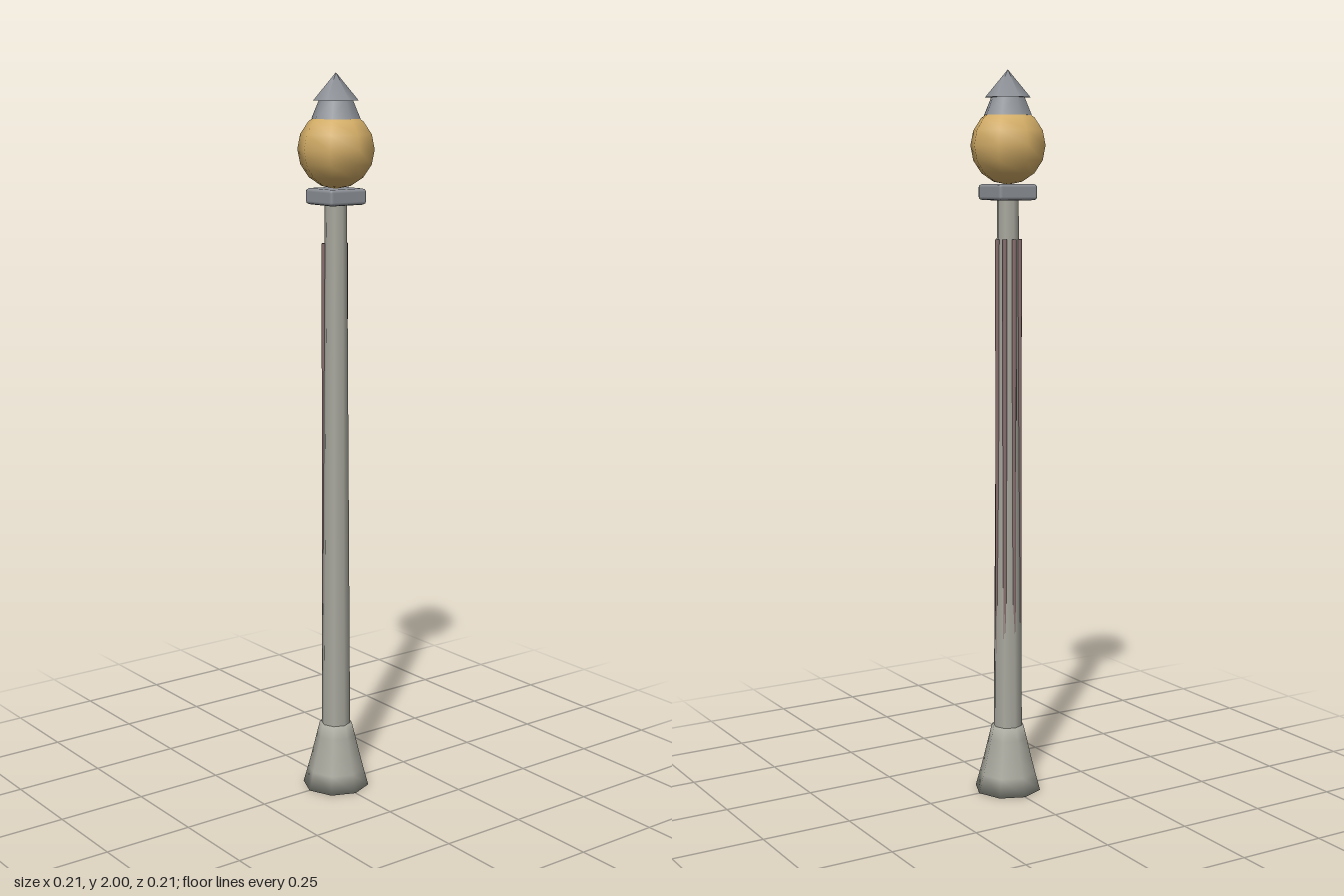
import * as THREE from 'three';
import { RoundedBoxGeometry } from 'three/addons/geometries/RoundedBoxGeometry.js';

const stone = new THREE.MeshStandardMaterial({ color: 0xa8a89e });
const metal = new THREE.MeshStandardMaterial({ color: 0x8c9096 });
const glass = new THREE.MeshStandardMaterial({ color: 0xd2ac66 });
const copper = new THREE.MeshStandardMaterial({ color: 0x8a7070 });

export function createModel() {
  const group = new THREE.Group();
  group.name = 'lampPost';

  const add = (name, geometry, material, y = 0, x = 0, z = 0) => {
    const mesh = new THREE.Mesh(geometry, material);
    mesh.name = name;
    mesh.position.set(x, y, z);
    group.add(mesh);
    return mesh;
  };

  // Flared foot, closed below and above
  const profile = [[0, 0], [0.094, 0], [0.08, 0.05], [0.067, 0.1], [0.055, 0.15], [0.046, 0.186], [0, 0.186]];
  add('base', new THREE.LatheGeometry(profile.map(([r, y]) => new THREE.Vector2(r, y)), 8), stone);

  // Tapered shaft
  add('pole', new THREE.CylinderGeometry(0.03, 0.041, 1.5, 8), stone, 0.92);

  // Four upright conduits around the back, sinking into the widening shaft
  for (let i = 0; i < 4; i++) {
    const a = (i * Math.PI) / 4;
    add('conduit', new THREE.CylinderGeometry(0.006, 0.006, 1.35, 6), copper,
      0.875, 0.033 * Math.cos(a), -0.033 * Math.sin(a));
  }

  // Bevelled square plate under the globe
  add('plate', new RoundedBoxGeometry(0.12, 0.043, 0.12, 1, 0.009), metal, 1.676);

  // Lamp globe
  add('globe', new THREE.SphereGeometry(0.104, 8, 8), glass, 1.8);

  // Collar and pointed finial
  add('collar', new THREE.CylinderGeometry(0.045, 0.066, 0.05, 8), metal, 1.905);
  add('finial', new THREE.ConeGeometry(0.061, 0.073, 6), metal, 1.9635);

  return group;
}
